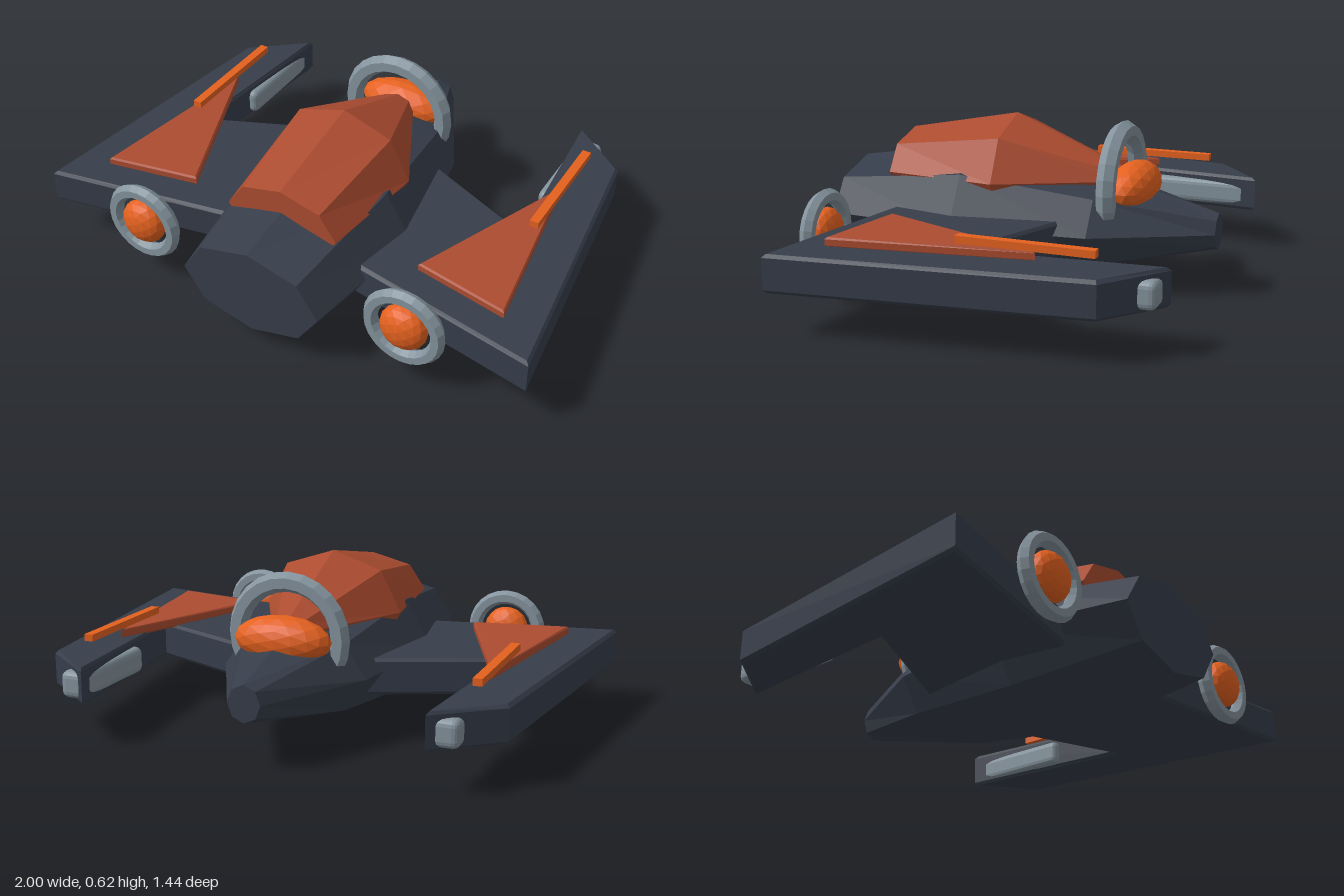
import * as THREE from 'three';
import { RoundedBoxGeometry } from 'three/addons/geometries/RoundedBoxGeometry.js';

const paint = (name, color) => {
  const m = new THREE.MeshStandardMaterial({ color, flatShading: true });
  m.name = name;
  return m;
};

// Eight-sided loft; sections run from the tail (-z) to the front (+z): [z, centreY, rx, ry]
function loft(sections) {
  const n = 8, pos = [], idx = [];
  for (const [z, cy, rx, ry] of sections) {
    for (let k = 0; k < n; k++) {
      const a = (k / n) * Math.PI * 2;
      pos.push(Math.cos(a) * rx, cy + Math.sin(a) * ry, z);
    }
  }
  const last = (sections.length - 1) * n;
  for (let s = 0; s < last; s += n) {
    for (let k = 0; k < n; k++) {
      const j = (k + 1) % n;
      idx.push(s + k, s + j, s + n + j, s + k, s + n + j, s + n + k);
    }
  }
  for (let k = 1; k < n - 1; k++) {
    idx.push(0, k + 1, k, last, last + k, last + k + 1);
  }
  const g = new THREE.BufferGeometry();
  g.setAttribute('position', new THREE.Float32BufferAttribute(pos, 3));
  g.setIndex(idx);
  const flat = g.toNonIndexed();
  flat.computeVertexNormals();
  return flat;
}

// Bevelled horizontal plate from an [x, z] outline, between heights y0 and y1
function plate(outline, y0, y1, bevel, side) {
  const shape = new THREE.Shape(outline.map(([x, z]) => new THREE.Vector2(x * side, -z)));
  const g = new THREE.ExtrudeGeometry(shape, {
    depth: y1 - y0 - 2 * bevel, bevelEnabled: true, bevelSegments: 1,
    bevelSize: bevel, bevelThickness: bevel, bevelOffset: -bevel,
  });
  return g.rotateX(-Math.PI / 2).translate(0, y0 + bevel, 0);
}

export function createModel() {
  const model = new THREE.Group();
  const dark = paint('dark slate', 0x363d4a);
  const rust = paint('rust red', 0xac4c30);
  const orange = paint('bright orange', 0xe4611f);
  const steel = paint('steel grey', 0x84939d);

  const add = (name, geometry, material, x = 0, y = 0, z = 0) => {
    const mesh = new THREE.Mesh(geometry, material);
    mesh.name = name;
    mesh.position.set(x, y, z);
    model.add(mesh);
    return mesh;
  };

  // Fuselage and canopy
  add('hull', loft([
    [-0.72, 0.238, 0.062, 0.068],
    [-0.3, 0.24, 0.28, 0.175],
    [0.2, 0.25, 0.36, 0.25],
    [0.72, 0.238, 0.28, 0.173],
  ]), dark);
  add('canopy', loft([
    [-0.36, 0.405, 0.06, 0.04],
    [0.07, 0.405, 0.275, 0.22],
    [0.505, 0.405, 0.225, 0.135],
  ]), rust);

  // Tail engine
  add('tailRing', new THREE.TorusGeometry(0.199, 0.037, 6, 24), steel, 0, 0.385, -0.348);
  add('tailGlow', new THREE.IcosahedronGeometry(1, 2), orange, 0, 0.385, -0.4).scale.set(0.185, 0.088, 0.088);

  for (const [label, s] of [['left', 1], ['right', -1]]) {
    // Wing with swept boom
    add(label + 'Wing', plate([
      [0.2, -0.225], [0.7, -0.01], [0.64, -0.718], [0.867, -0.54], [1, 0.584], [0.2, 0.44],
    ], 0.153, 0.29, 0.012, s), dark);
    // Raised panel and rail on top of the wing
    add(label + 'WingPanel', plate([[0.735, -0.285], [0.477, 0.367], [0.84, 0.435]], 0.285, 0.321, 0.007, s), rust);
    add(label + 'WingRail', new THREE.BoxGeometry(0.034, 0.026, 0.49), orange, s * 0.745, 0.34, -0.255);
    // Pod set into the boom
    add(label + 'Pod', new RoundedBoxGeometry(0.1, 0.1, 0.42, 2, 0.025), steel, s * 0.695, 0.214, -0.487);
    // Front ring and glowing core
    add(label + 'FrontRing', new THREE.TorusGeometry(0.13, 0.028, 6, 24), steel, s * 0.55, 0.247, 0.6);
    add(label + 'FrontCore', new THREE.IcosahedronGeometry(1, 2), orange, s * 0.55, 0.247, 0.6)
      .scale.set(0.09, 0.09, 0.057);
  }
  return model;
}
